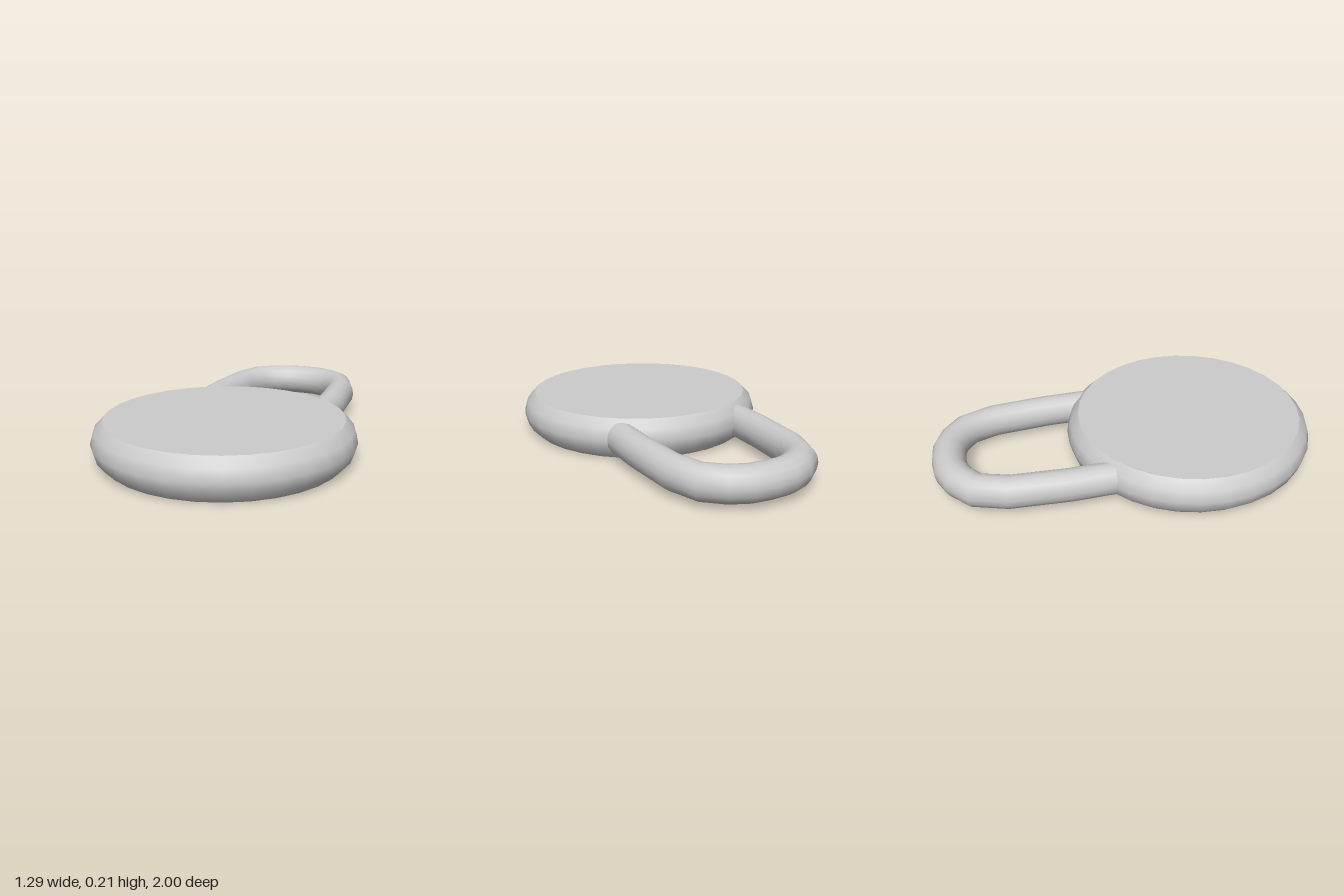
import * as THREE from 'three';

const SIDES = 32, BODY_Z = 0.35, HEIGHT = 0.206, FACE_R = 0.585;

export function createModel() {
  const model = new THREE.Group();
  const material = new THREE.MeshStandardMaterial({ color: 0xcccccc });
  const add = (name, geometry, parent) => {
    const mesh = new THREE.Mesh(geometry, material);
    mesh.name = name;
    parent.add(mesh);
    return mesh;
  };

  // Round lock body: bulging rim closed by two flat faces
  const body = new THREE.Group();
  body.name = 'body';
  body.position.z = BODY_Z;
  model.add(body);

  const rim = [[FACE_R, 0], [0.628, 0.044], [0.645, HEIGHT / 2], [0.628, HEIGHT - 0.044], [FACE_R, HEIGHT]];
  add('rim', new THREE.LatheGeometry(rim.map(([r, y]) => new THREE.Vector2(r, y)), SIDES), body);
  add('dialFace', new THREE.CircleGeometry(FACE_R, SIDES).rotateX(-Math.PI / 2), body).position.y = HEIGHT;
  add('backFace', new THREE.CircleGeometry(FACE_R, SIDES).rotateX(Math.PI / 2), body);

  // Shackle: half path from leg to crown, mirrored; legs end inside the body
  const NARROW = 0.9; // bar is slightly slimmer across x
  const half = [[0.333, -0.05], [0.333, -0.365], [0.312, -0.65], [0.26, -0.8], [0.175, -0.872], [0.09, -0.907]];
  const path = [...half, [0, -0.914], ...half.map(([x, z]) => [-x, z]).reverse()];
  const curve = new THREE.CatmullRomCurve3(path.map(([x, z]) => new THREE.Vector3(x / NARROW, 0.104, z)));
  // Put one ring on each path point
  curve.getPointAt = (t, target) => curve.getPoint(t, target);
  curve.getTangentAt = (t, target) => curve.getTangent(t, target);
  const bar = new THREE.TubeGeometry(curve, path.length - 1, 0.086, 16);
  add('shackle', bar.scale(NARROW, 1, 1), model);

  return model;
}
